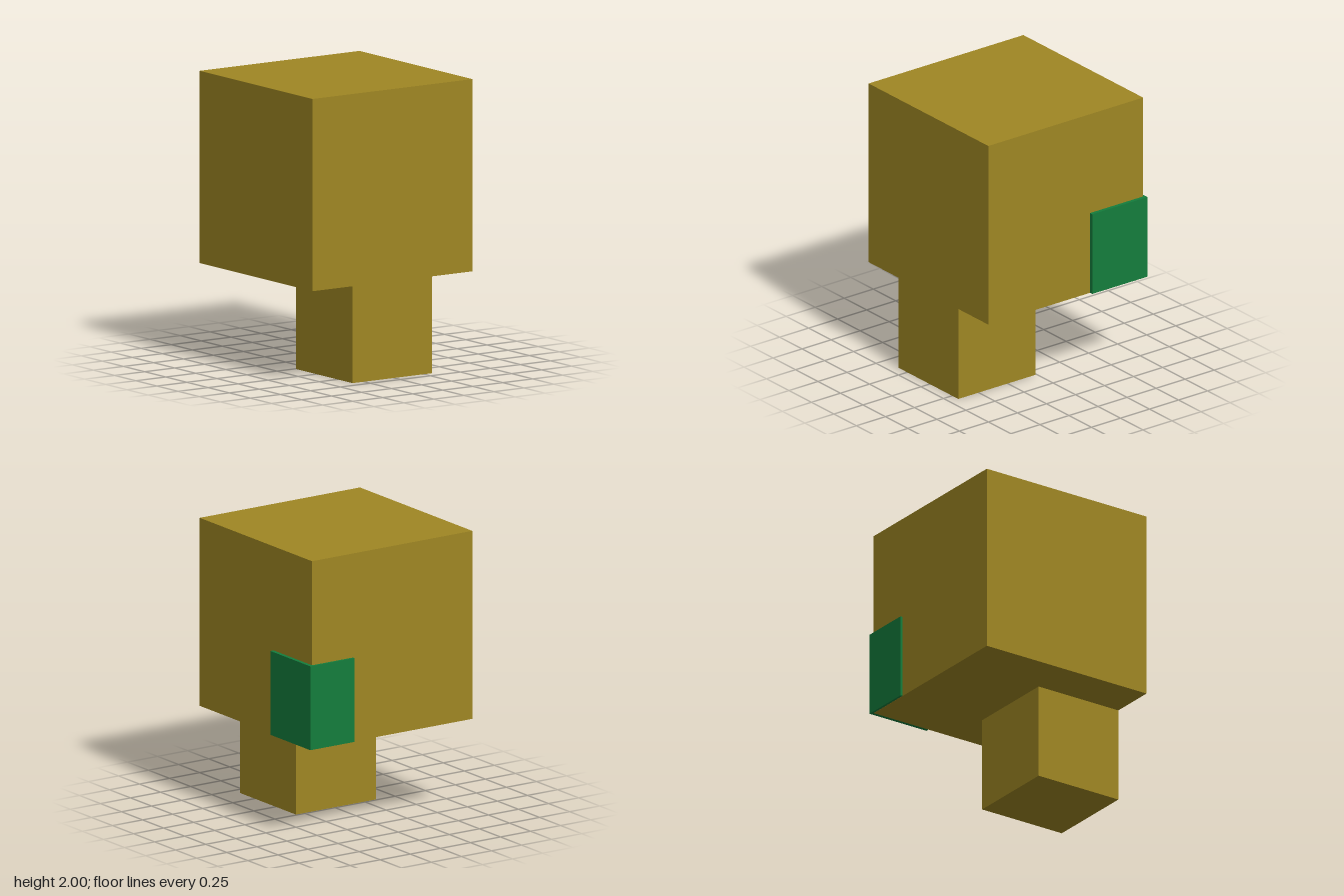
import * as THREE from 'three';

// Box given by its low and high corners
function block(name, color, lo, hi) {
  const size = hi.map((v, i) => v - lo[i]);
  const mesh = new THREE.Mesh(
    new THREE.BoxGeometry(...size),
    new THREE.MeshStandardMaterial({ color, flatShading: true })
  );
  mesh.position.set(...hi.map((v, i) => (v + lo[i]) / 2));
  mesh.name = name;
  return mesh;
}

export function createModel() {
  const model = new THREE.Group();
  model.name = 'blockModel';
  const ochre = 0x9f8723, green = 0x147d3c;

  // Large cube on a half-size cube, flush at the front
  model.add(block('upperCube', ochre, [-0.68, 0.67, -0.658], [0.652, 2, 0.675]));
  model.add(block('baseCube', ochre, [-0.348, 0, 0.01], [0.318, 0.67, 0.675]));

  // Green block wrapping the back left corner, a hair above the cube's underside
  model.add(block('cornerBlock', green, [0.312, 0.671, -0.675], [0.678, 1.264, -0.2]));

  return model;
}
